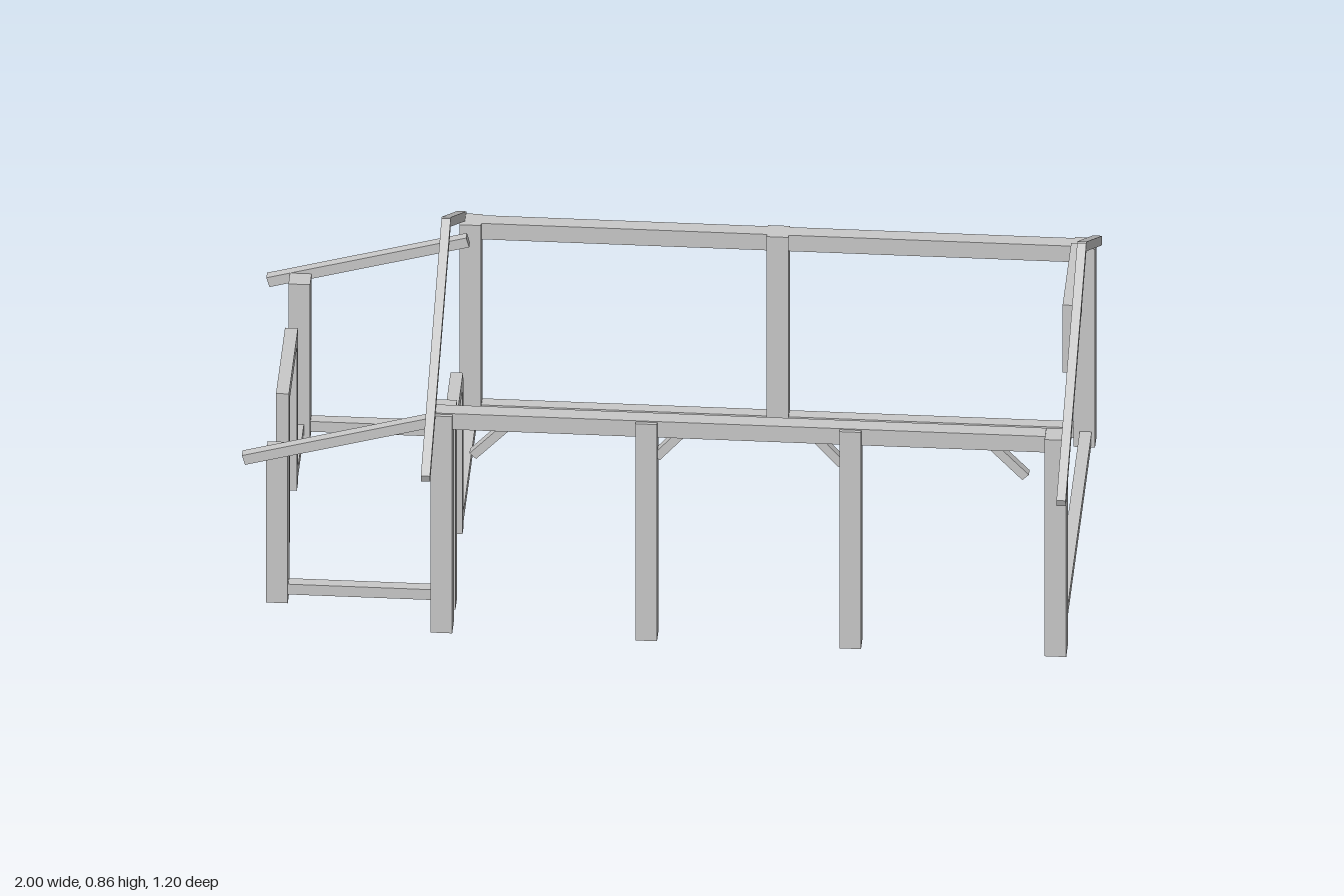
import * as THREE from 'three';

export function createModel() {
  const model = new THREE.Group();
  model.name = 'timberFrame';
  const timber = new THREE.MeshStandardMaterial({ color: 0xc8c8c8 });
  timber.name = 'light grey timber';

  // Axis-aligned timber given by its limits on each axis
  const beam = (name, [x0, x1], [y0, y1], [z0, z1]) => {
    const mesh = new THREE.Mesh(new THREE.BoxGeometry(x1 - x0, y1 - y0, z1 - z0), timber);
    mesh.name = name;
    mesh.position.set((x0 + x1) / 2, (y0 + y1) / 2, (z0 + z1) / 2);
    model.add(mesh);
  };
  // Square-ended timber sloping between two centre points
  const sloped = (name, a, b, thick, wide) => {
    const from = new THREE.Vector3(...a), to = new THREE.Vector3(...b);
    const mesh = new THREE.Mesh(new THREE.BoxGeometry(wide, thick, from.distanceTo(to)), timber);
    mesh.name = name;
    mesh.position.copy(from).lerp(to, 0.5);
    mesh.lookAt(to);
    model.add(mesh);
  };
  const post = (name, x, z, h) => beam(name, [x - 0.026, x + 0.026], [0, h], [z - 0.026, z + 0.026]);

  // Main posts
  for (const x of [-0.515, -0.023, 0.467, 0.96]) post('frontPost', x, 0.389, 0.612);
  for (const x of [-0.515, 0.223, 0.96]) post('backPost', x, -0.561, 0.56);

  // Wall plates along the eaves
  beam('frontPlate', [-0.53, 0.935], [0.57, 0.615], [0.367, 0.406]);
  beam('backPlate', [-0.53, 0.935], [0.515, 0.56], [-0.582, -0.545]);

  // Knee braces under the front plate
  for (const [x0, y0, x1, y1] of [
    [-0.441, 0.491, -0.358, 0.578], [0, 0.507, 0.062, 0.578],
    [0.445, 0.507, 0.383, 0.578], [0.887, 0.491, 0.804, 0.578],
  ]) sloped('kneeBrace', [x0, y0, 0.385], [x1, y1, 0.385], 0.022, 0.022);

  // Ground sills
  const sillY = [0.015, 0.044];
  beam('backSill', [-0.49, 0.935], sillY, [-0.58, -0.55]);
  beam('rightSill', [0.949, 0.978], sillY, [-0.54, 0.365]);
  beam('innerSill', [-0.525, -0.497], sillY, [-0.54, -0.06]);
  beam('porchFrontSill', [-0.9, -0.535], sillY, [0.265, 0.292]);
  beam('porchBackSill', [-0.9, -0.535], sillY, [-0.474, -0.446]);
  beam('outerSill', [-0.933, -0.907], sillY, [-0.435, -0.23]);
  beam('outerSill', [-0.933, -0.907], sillY, [0.055, 0.26]);

  // Gable rafters at both ends
  for (const x of [-0.54, 0.987]) {
    sloped('frontRafter', [x, 0.547, 0.596], [x, 0.849, -0.087], 0.023, 0.022);
    sloped('backRafter', [x, 0.547, -0.596], [x, 0.849, -0.085], 0.023, 0.022);
  }

  // Lean-to posts and rafters
  post('porchPost', -0.918, 0.282, 0.423);
  post('porchPost', -0.918, -0.456, 0.44);
  post('porchInnerPost', -0.515, 0.282, 0.56);
  for (const z of [0.315, -0.491])
    sloped('porchRafter', [-0.997, 0.411, z], [-0.517, 0.545, z], 0.027, 0.023);

  // Inner door frame, then outer door frame
  beam('innerDoorHead', [-0.527, -0.497], [0.406, 0.446], [-0.05, 0.247]);
  for (const z of [-0.051, 0.246])
    beam('innerDoorJamb', [-0.527, -0.497], [0, 0.422], [z - 0.017, z + 0.017]);
  beam('outerDoorHead', [-0.938, -0.907], [0.405, 0.438], [-0.235, 0.063]);
  for (const z of [-0.218, 0.046])
    beam('outerDoorJamb', [-0.938, -0.907], [0, 0.406], [z - 0.017, z + 0.017]);

  // Gable window frame
  const wx = [0.951, 0.977];
  beam('windowHead', wx, [0.744, 0.768], [-0.227, 0.054]);
  beam('windowSill', wx, [0.577, 0.601], [-0.227, 0.054]);
  for (const z of [-0.214, 0.041])
    beam('windowJamb', wx, [0.601, 0.744], [z - 0.013, z + 0.013]);

  return model;
}
